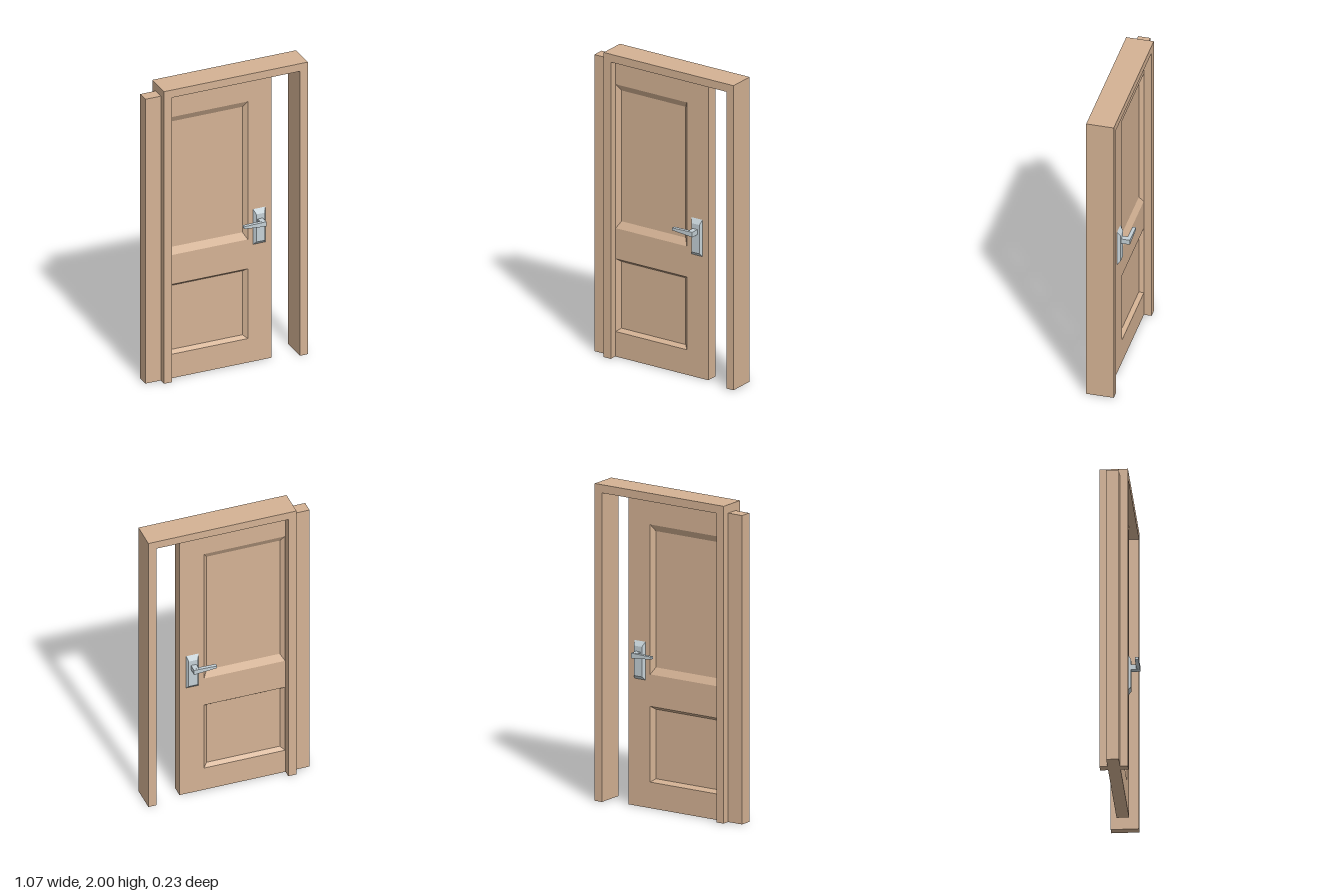
import * as THREE from 'three';

const wood = new THREE.MeshStandardMaterial({ color: 0xd4b294, flatShading: true });
const metal = new THREE.MeshStandardMaterial({ color: 0xc4d0d6, flatShading: true });

const DOOR = { left: -0.533, right: 0.313, top: 1.947, z: 0.0385 };

// Rectangle corners, counter-clockwise seen from the front
const corners = ([x0, y0, x1, y1]) => [[x0, y0], [x1, y0], [x1, y1], [x0, y1]];
const outline = (points, Type) => new Type(points.map(([x, y]) => new THREE.Vector2(x, y)));

function add(parent, name, geometry, material) {
  const mesh = new THREE.Mesh(geometry, material);
  mesh.name = name;
  parent.add(mesh);
  return mesh;
}

// Sloping border from an outer rectangle to an inner one, closed by a flat centre
function bevelled(outer, inner, zOuter, zInner) {
  const a = corners(outer).map(([x, y]) => [x, y, zOuter]);
  const b = corners(inner).map(([x, y]) => [x, y, zInner]);
  const pos = [];
  const quad = (p, q, r, s) => pos.push(...p, ...q, ...r, ...p, ...r, ...s);
  for (let i = 0; i < 4; i++) {
    const j = (i + 1) % 4;
    quad(a[i], a[j], b[j], b[i]);
  }
  quad(...b);
  const g = new THREE.BufferGeometry();
  g.setAttribute('position', new THREE.Float32BufferAttribute(pos, 3));
  g.computeVertexNormals();
  return g;
}

function extrude(shape, z0, z1) {
  const g = new THREE.ExtrudeGeometry(shape, { depth: z1 - z0, bevelEnabled: false });
  return g.translate(0, 0, z0);
}

function makeHandle(name, side) {
  const handle = new THREE.Group();
  handle.name = name;
  add(handle, 'handlePlate',
    bevelled([0.188, 0.802, 0.27, 1.043], [0.201, 0.824, 0.26, 1.013], DOOR.z, 0.058), metal);

  // Neck standing out from the plate
  const neck = new THREE.BoxGeometry(0.035, 0.033, 0.05).translate(0.2275, 0.9635, 0.075);
  add(handle, 'handleNeck', neck, metal);

  // Lever narrowing towards its tip
  const lever = outline([[0.095, 0.96], [0.245, 0.947], [0.245, 0.98], [0.095, 0.976]], THREE.Shape);
  add(handle, 'handleLever', extrude(lever, 0.09, 0.113), metal);

  handle.scale.z = side;
  return handle;
}

export function createModel() {
  const model = new THREE.Group();

  // Door surround: two jambs and a header in one arch
  const arch = outline([[-0.43, 0], [-0.377, 0], [-0.377, 1.948], [0.48, 1.948],
    [0.48, 0], [0.533, 0], [0.533, 2], [-0.43, 2]], THREE.Shape);
  add(model, 'doorFrame', extrude(arch, -0.087, 0.087), wood);

  // Sliding leaf with two recessed panels on each face
  const door = new THREE.Group();
  door.name = 'door';
  model.add(door);
  const panels = [
    { name: 'upperPanel', outer: [-0.374, 0.843, 0.153, 1.788], inner: [-0.349, 0.886, 0.128, 1.745] },
    { name: 'lowerPanel', outer: [-0.374, 0.164, 0.153, 0.642], inner: [-0.349, 0.184, 0.128, 0.622] },
  ];
  const leaf = outline(corners([DOOR.left, 0, DOOR.right, DOOR.top]), THREE.Shape);
  for (const p of panels) leaf.holes.push(outline(corners(p.outer), THREE.Path));
  add(door, 'doorLeaf', extrude(leaf, -DOOR.z, DOOR.z), wood);

  for (const { name, outer, inner } of panels) {
    const front = bevelled(outer, inner, DOOR.z, DOOR.z - 0.025);
    add(door, name + 'Front', front, wood);
    // Same panel turned about its own centre line for the back
    const mid = (outer[0] + outer[2]) / 2;
    const back = front.clone().translate(-mid, 0, 0).rotateY(Math.PI).translate(mid, 0, 0);
    add(door, name + 'Back', back, wood);
  }

  door.add(makeHandle('frontHandle', 1), makeHandle('backHandle', -1));
  return model;
}
